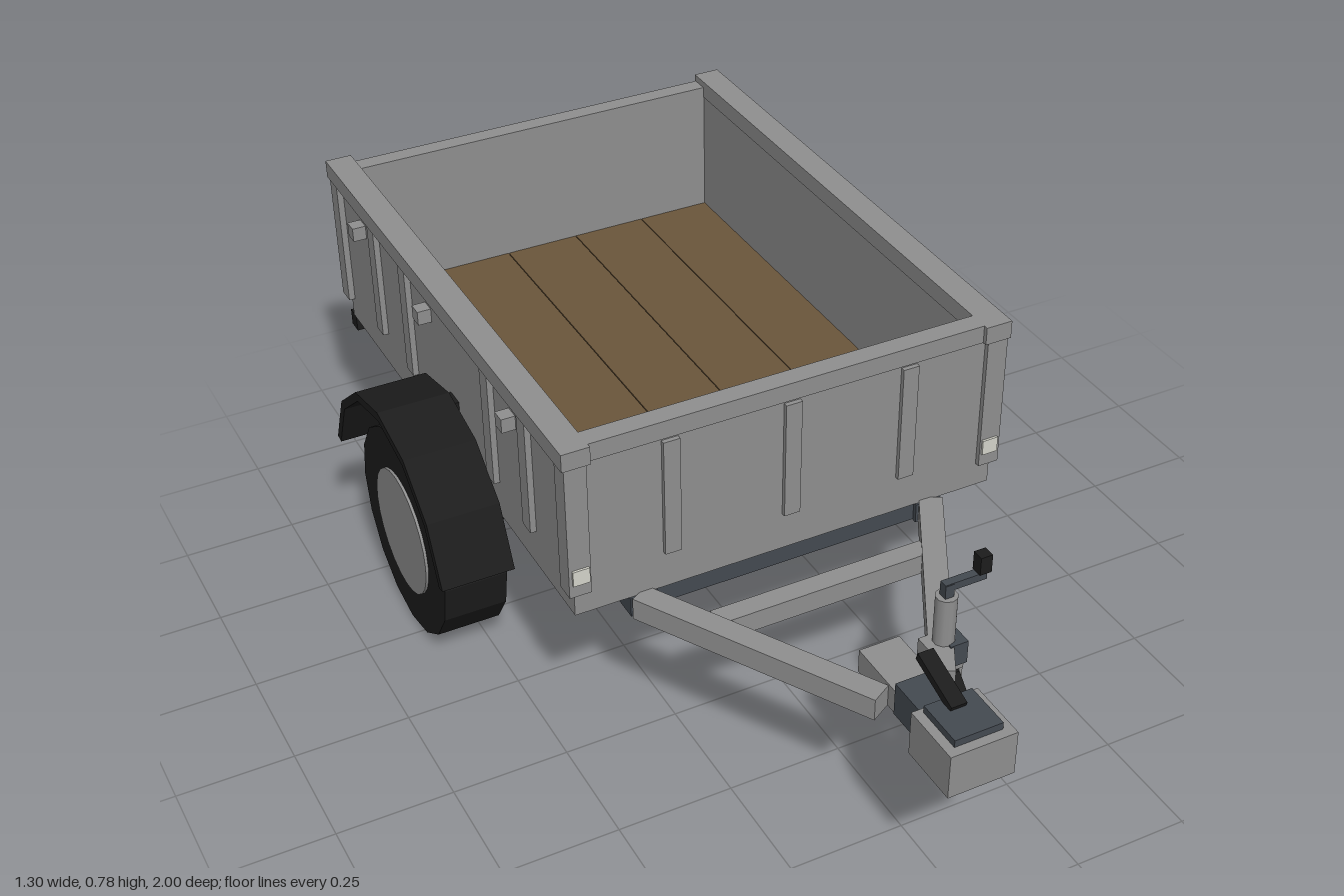
import * as THREE from 'three';

const mat = (name, color, extra = {}) => {
  const m = new THREE.MeshStandardMaterial({ color, ...extra });
  m.name = name;
  return m;
};

export function createModel() {
  const root = new THREE.Group();
  root.name = 'utilityTrailer';
  const steel = mat('grey steel', 0x8f8f8f);
  const frame = mat('dark blue grey steel', 0x444a51);
  const black = mat('black rubber', 0x1c1c1c, { flatShading: true });
  const wood = mat('brown wood', 0x6b563b);
  const red = mat('red lens', 0xb92424);
  const orange = mat('orange lens', 0xc8801a);
  const white = mat('off white', 0xd4d4ca);

  const add = (name, geo, material, x = 0, y = 0, z = 0) => {
    const m = new THREE.Mesh(geo, material);
    m.name = name;
    m.position.set(x, y, z);
    root.add(m);
    return m;
  };
  // Box given by its lower and upper limits on each axis
  const box = (name, material, x0, x1, y0, y1, z0, z1) =>
    add(name, new THREE.BoxGeometry(x1 - x0, y1 - y0, z1 - z0), material,
      (x0 + x1) / 2, (y0 + y1) / 2, (z0 + z1) / 2);
  // Same box on both sides
  const pair = (name, material, x0, x1, ...rest) => {
    box(name + 'Left', material, x0, x1, ...rest);
    box(name + 'Right', material, -x1, -x0, ...rest);
  };
  // Bar of given width and height between two points
  const bar = (name, material, a, b, w, h) => {
    const p = new THREE.Vector3(...a), q = new THREE.Vector3(...b);
    const m = add(name, new THREE.BoxGeometry(w, h, p.distanceTo(q)), material);
    m.position.copy(p).add(q).multiplyScalar(0.5);
    m.lookAt(q);
    return m;
  };
  // Cylinder lying along x
  const disc = (name, material, r, w, n, x, y, z) =>
    add(name, new THREE.CylinderGeometry(r, r, w, n).rotateZ(Math.PI / 2), material, x, y, z);

  // Load box: floor, walls, rails and corner posts
  box('floorPan', steel, -0.478, 0.478, 0.38, 0.44, -0.965, 0.277);
  for (let i = 0; i < 5; i++) {
    const x = -0.44 + i * 0.176;
    box('floorPlank', wood, x + 0.001, x + 0.175, 0.44, 0.45, -0.946, 0.242);
  }
  pair('sideWall', steel, 0.439, 0.478, 0.38, 0.75, -0.965, 0.277);
  box('frontWall', steel, -0.478, 0.478, 0.38, 0.75, 0.241, 0.28);
  box('tailgate', steel, -0.445, 0.445, 0.38, 0.75, -0.97, -0.944);
  pair('sideRail', steel, 0.437, 0.497, 0.74, 0.78, -0.987, 0.294);
  box('frontRail', steel, -0.437, 0.437, 0.74, 0.78, 0.24, 0.284);
  box('tailgateRail', steel, -0.437, 0.437, 0.735, 0.765, -0.983, -0.943);
  pair('frontPost', steel, 0.445, 0.492, 0.435, 0.74, 0.247, 0.291);
  pair('rearPost', steel, 0.445, 0.492, 0.435, 0.74, -0.985, -0.943);

  // Pressed ribs and rope hooks
  for (const x of [-0.266, 0, 0.266])
    box('frontRib', steel, x - 0.018, x + 0.018, 0.467, 0.735, 0.278, 0.29);
  for (const x of [-0.21, 0, 0.21])
    box('tailgateRib', steel, x - 0.018, x + 0.018, 0.467, 0.735, -0.982, -0.968);
  for (const z of [0.085, -0.1, -0.55, -0.735])
    pair('sideRib', steel, 0.476, 0.491, 0.467, 0.735, z - 0.019, z + 0.019);
  for (const z of [0.013, -0.43, -0.82])
    pair('ropeHook', steel, 0.476, 0.508, 0.668, 0.7, z - 0.016, z + 0.016);

  // Chassis
  pair('chassisRail', frame, 0.3, 0.36, 0.335, 0.38, -0.965, 0.285);
  for (const z of [0.25, -0.08, -0.58, -0.93])
    box('chassisCrossMember', frame, -0.3, 0.3, 0.337, 0.38, z - 0.025, z + 0.025);

  // Drawbar
  for (const s of [1, -1])
    bar('drawbarArm', steel, [s * 0.338, 0.36, 0.28], [s * 0.067, 0.36, 0.757], 0.05, 0.05);
  box('drawbarBrace', steel, -0.24, 0.24, 0.337, 0.383, 0.393, 0.438);
  box('drawbarShaft', steel, -0.045, 0.045, 0.335, 0.388, 0.635, 0.79);
  box('shaftFin', steel, -0.012, 0.012, 0.3, 0.336, 0.71, 0.84);

  // Coupling
  box('couplingNeck', frame, -0.047, 0.047, 0.335, 0.41, 0.77, 0.87);
  box('couplingHead', steel, -0.072, 0.072, 0.325, 0.425, 0.865, 1);
  box('couplingPlate', frame, -0.052, 0.052, 0.425, 0.441, 0.875, 0.98);
  bar('couplingHandle', black, [0, 0.442, 0.91], [0, 0.481, 0.79], 0.034, 0.018);

  // Jockey wheel
  const jx = 0.117, jz = 0.68;
  add('jockeyTube', new THREE.CylinderGeometry(0.023, 0.023, 0.18, 10), steel, jx, 0.405, jz);
  box('jockeyForkTop', steel, jx - 0.037, jx + 0.037, 0.315, 0.33, jz - 0.02, jz + 0.02);
  for (const s of [1, -1])
    box('jockeyForkLeg', steel, jx + s * 0.033 - 0.004, jx + s * 0.033 + 0.004, 0.235, 0.32, jz - 0.018, jz + 0.018);
  disc('jockeyWheel', black, 0.066, 0.052, 8, jx, 0.252, jz).rotation.x = Math.PI / 8;
  box('jockeyBracket', steel, 0.075, 0.115, 0.335, 0.385, jz - 0.025, jz + 0.025);
  box('jockeyClamp', frame, 0.115, 0.155, 0.335, 0.388, jz - 0.03, jz + 0.03);
  box('crankPost', frame, 0.107, 0.127, 0.49, 0.525, jz - 0.01, jz + 0.01);
  box('crankArm', frame, 0.107, 0.2, 0.51, 0.527, jz - 0.009, jz + 0.009);
  box('crankGrip', black, 0.181, 0.207, 0.527, 0.568, jz - 0.013, jz + 0.013);

  // Axle, suspension blocks, wheels and mudguards
  const wz = -0.31, wy = 0.237;
  box('axle', black, -0.48, 0.48, 0.21, 0.265, wz - 0.03, wz + 0.03);
  pair('suspensionBlock', black, 0.3, 0.37, 0.265, 0.335, wz - 0.06, wz + 0.06);
  const guard = new THREE.Shape();
  const angles = [...Array(7).keys()].map((i) => (12 + i * 26) * Math.PI / 180);
  angles.forEach((a, i) => guard[i ? 'lineTo' : 'moveTo'](0.318 * Math.cos(a), 0.318 * Math.sin(a)));
  angles.reverse().forEach((a) => guard.lineTo(0.298 * Math.cos(a), 0.298 * Math.sin(a)));
  const guardGeo = new THREE.ExtrudeGeometry(guard, { depth: 0.16, bevelEnabled: false })
    .translate(0, 0, -0.08).rotateY(Math.PI / 2);
  for (const s of [1, -1]) {
    disc('tyre', black, wy, 0.14, 16, s * 0.55, wy, wz);
    disc('wheelDisc', steel, 0.143, 0.152, 24, s * 0.55, wy, wz);
    add('mudguard', guardGeo, black, s * 0.57, wy, wz);
  }
  pair('mudguardBracket', black, 0.478, 0.6, 0.475, 0.54, wz - 0.022, wz + 0.022);

  // Front markers
  pair('frontMarker', white, 0.449, 0.485, 0.465, 0.5, 0.288, 0.296);

  // Rear bumper, lamps, latches and number plate
  box('rearBumper', black, -0.475, 0.475, 0.337, 0.376, -0.996, -0.96);
  pair('bumperReflector', red, 0.33, 0.445, 0.345, 0.368, -1, -0.995);
  pair('lampHousing', black, 0.272, 0.462, 0.465, 0.585, -0.99, -0.968);
  pair('brakeLamp', red, 0.282, 0.374, 0.474, 0.57, -0.999, -0.989);
  pair('turnLamp', orange, 0.384, 0.456, 0.474, 0.57, -0.999, -0.989);
  pair('lampBracket', frame, 0.31, 0.36, 0.42, 0.465, -0.988, -0.968);
  pair('tailgateLatch', black, 0.434, 0.444, 0.62, 0.69, -0.997, -0.968);
  pair('latchKnob', black, 0.428, 0.45, 0.655, 0.675, -0.995, -0.968);
  box('plateHolder', black, -0.155, 0.155, 0.464, 0.575, -0.988, -0.968);
  box('blankPlate', white, -0.146, 0.146, 0.473, 0.567, -0.993, -0.987);

  return root;
}
